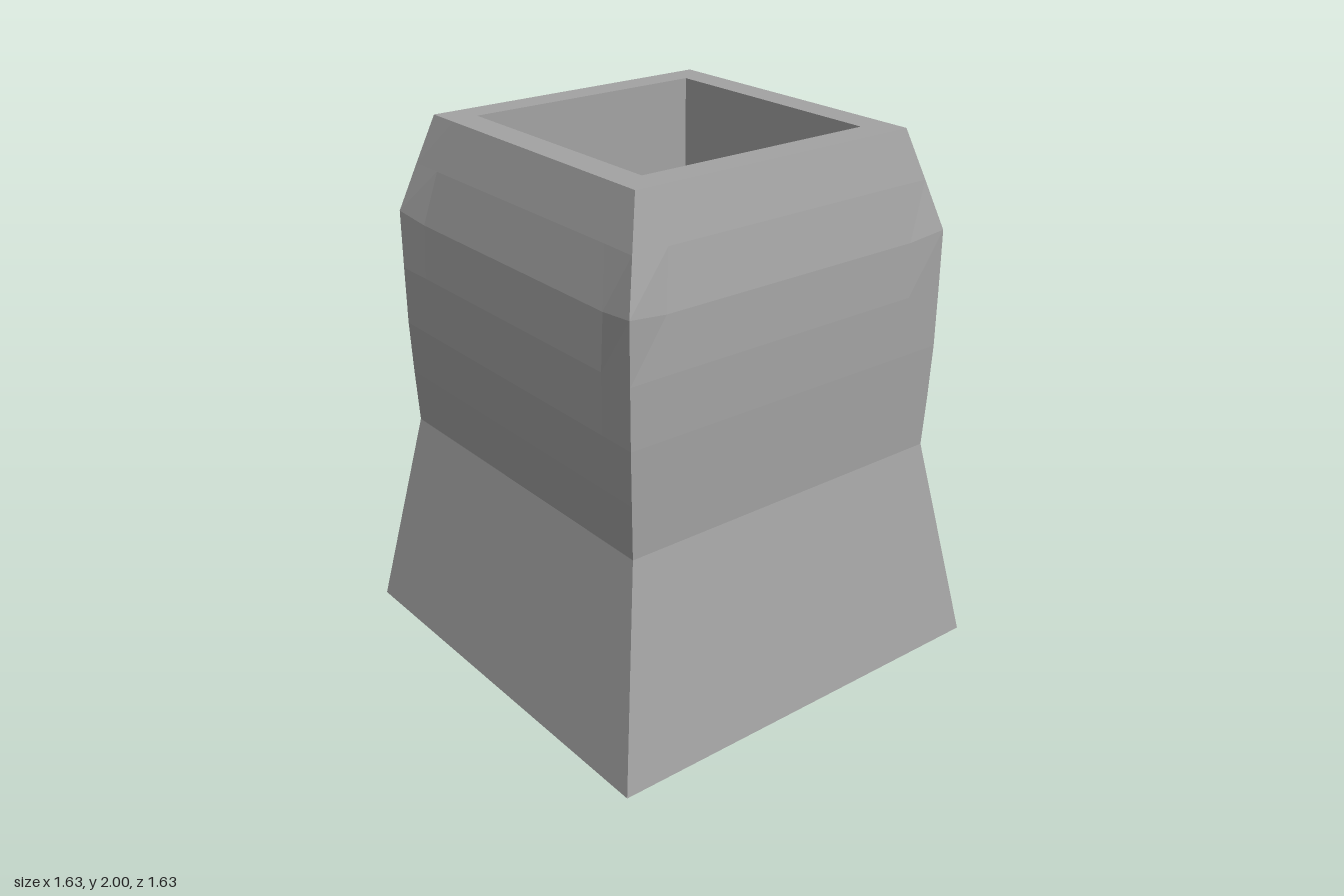
import * as THREE from 'three';

// Square shell swept through rings. Each row: corner half width, corner height,
// then optionally the half width and height of the middle of the side.
function squareShell(rows) {
  const rings = rows.map(([r, y, m = r, my = y]) => {
    const ring = [];
    for (let side = 0; side < 4; side++) {
      for (const u of [-1, -0.78, 0.78]) {
        const corner = u === -1;
        const p = new THREE.Vector3(u * r, corner ? y : my, corner ? r : m);
        ring.push(p.applyAxisAngle(new THREE.Vector3(0, 1, 0), side * Math.PI / 2));
      }
    }
    return ring;
  });
  const points = [];
  for (let i = 0; i + 1 < rings.length; i++) {
    const n = rings[i].length;
    for (let j = 0; j < n; j++) {
      const k = (j + 1) % n;
      const a = rings[i][j], b = rings[i][k], c = rings[i + 1][k], d = rings[i + 1][j];
      // Rings of zero width close the shell with single triangles
      if (rows[i][0] > 0) points.push(a, b, c);
      if (rows[i + 1][0] > 0) points.push(a, c, d);
    }
  }
  const geometry = new THREE.BufferGeometry().setFromPoints(points);
  geometry.computeVertexNormals();
  return geometry;
}

export function createModel() {
  const group = new THREE.Group();
  const material = new THREE.MeshStandardMaterial({ color: 0xa3a3a3, flatShading: true });
  const add = (name, rows) => {
    const mesh = new THREE.Mesh(squareShell(rows), material);
    mesh.name = name;
    group.add(mesh);
  };

  // Flared foot with a closed underside
  add('flaredBase', [[0, 0], [0.817, 0], [0.677, 0.8]]);

  // Swelling upper body, softly rounded in the middle of each side
  add('upperBody', [
    [0.677, 0.8],
    [0.685, 1.0],
    [0.691, 1.2],
    [0.692, 1.42, 0.69, 1.42],
    [0.692, 1.64, 0.68, 1.62],
    [0.639, 1.82, 0.637, 1.82],
    [0.585, 2],
  ]);

  // Flat rim, straight inner walls and floor of the opening
  add('rimAndCavity', [[0.585, 2], [0.475, 2], [0.475, 0.8], [0, 0.8]]);
  return group;
}
